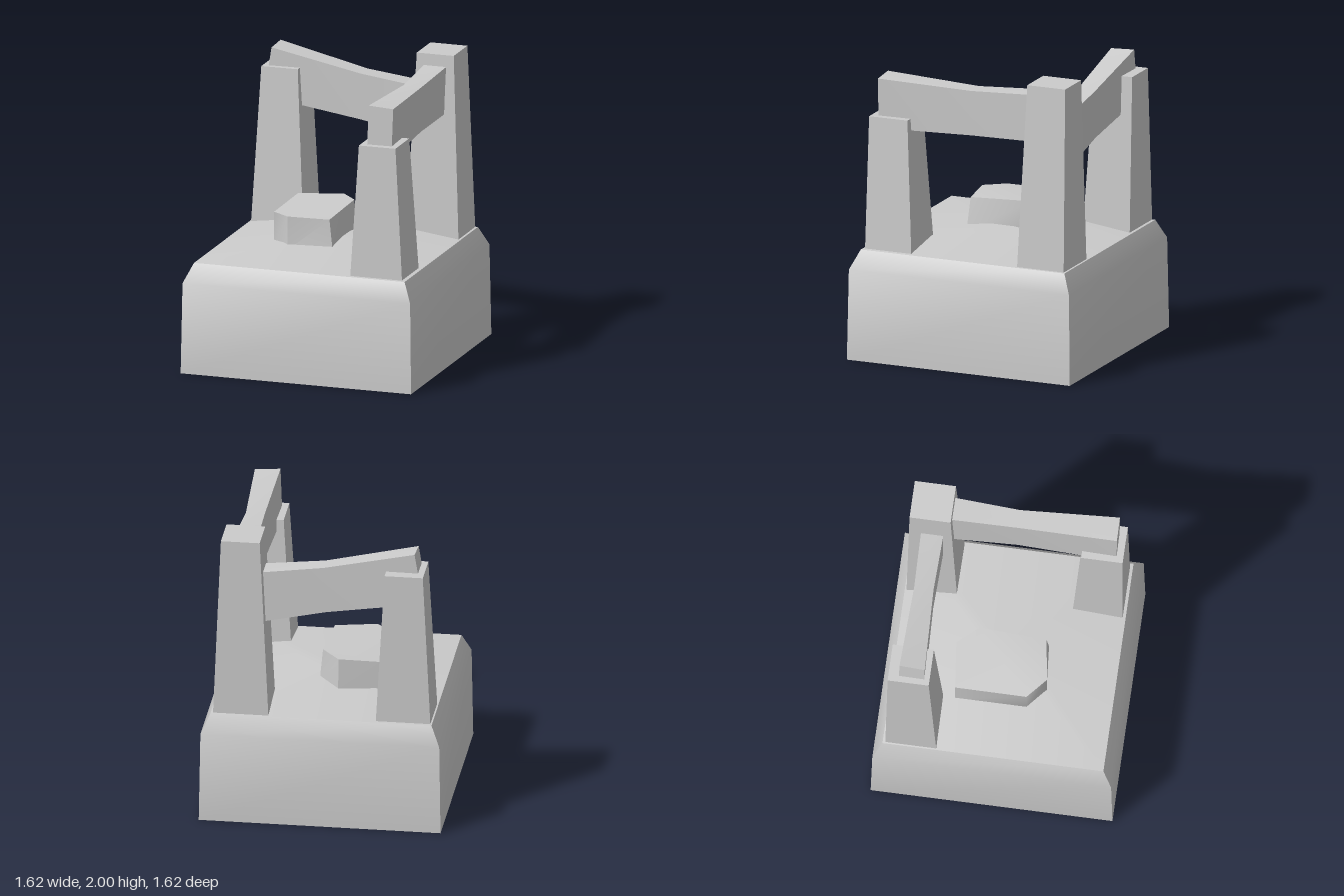
import * as THREE from 'three';
import { toCreasedNormals } from 'three/addons/utils/BufferGeometryUtils.js';

const material = new THREE.MeshStandardMaterial({ color: 0xcccccc });

// Skin a list of rings (same point count, counter-clockwise seen from the last ring) and cap both ends
function loft(name, rings, crease) {
  const n = rings[0].length;
  const index = [];
  for (let r = 0; r < rings.length - 1; r++) {
    for (let i = 0; i < n; i++) {
      const a = r * n + i, b = r * n + (i + 1) % n;
      index.push(a, b, b + n, a, b + n, a + n);
    }
  }
  const last = (rings.length - 1) * n;
  for (let i = 1; i < n - 1; i++) {
    index.push(0, i + 1, i);
    index.push(last, last + i, last + i + 1);
  }
  const geometry = new THREE.BufferGeometry();
  geometry.setAttribute('position', new THREE.Float32BufferAttribute(rings.flat(2), 3));
  geometry.setIndex(index);
  const mesh = new THREE.Mesh(toCreasedNormals(geometry, crease), material);
  mesh.name = name;
  return mesh;
}

// Horizontal rectangle ring
const rect = (y, x0, x1, z0, z1) => [[x1, y, z1], [x1, y, z0], [x0, y, z0], [x0, y, z1]];
const square = (y, h) => rect(y, -h, h, -h, h);

// Tapered pillar from a bottom and a top rectangle
const pillar = (name, bottom, height, top) =>
  loft(name, [rect(0.745, ...bottom), rect(height, ...top)], 0.2);

export function createModel() {
  const group = new THREE.Group();

  // Block with soft bevel and a gently domed top
  group.add(loft('base', [
    square(0, 0.812), square(0.62, 0.802), square(0.75, 0.742), square(0.835, 0.08),
  ], 0.52));

  // Three tapered pillars of different heights
  group.add(
    pillar('shortPillar', [0.352, 0.717, 0.385, 0.722], 1.655, [0.41, 0.668, 0.435, 0.714]),
    pillar('cornerPillar', [0.355, 0.727, -0.73, -0.39], 2, [0.415, 0.676, -0.718, -0.442]),
    pillar('middlePillar', [-0.732, -0.365, -0.724, -0.382], 1.81, [-0.68, -0.423, -0.716, -0.44]),
  );

  // Sloping rear beam, pinched in the middle: bottom front, bottom back, top back, top front
  group.add(loft('rearBeam', [
    [[-0.675, 1.595, -0.475], [-0.675, 1.59, -0.645], [-0.615, 1.945, -0.645], [-0.62, 1.935, -0.475]],
    [[-0.02, 1.49, -0.5], [-0.02, 1.485, -0.63], [0, 1.806, -0.63], [0, 1.803, -0.5]],
    [[0.58, 1.395, -0.485], [0.58, 1.36, -0.645], [0.6, 1.73, -0.645], [0.6, 1.73, -0.485]],
  ], 0.3));

  // Side beam, pinched in the middle: bottom inner, bottom outer, top outer, top inner
  group.add(loft('sideBeam', [
    [[0.455, 1.56, -0.62], [0.62, 1.6, -0.62], [0.63, 1.93, -0.62], [0.46, 1.93, -0.62]],
    [[0.472, 1.578, 0], [0.6, 1.585, 0], [0.605, 1.893, 0], [0.477, 1.895, 0]],
    [[0.45, 1.57, 0.668], [0.622, 1.568, 0.665], [0.635, 1.912, 0.665], [0.463, 1.923, 0.668]],
  ], 0.3));

  // Flat-topped stone with one leaning side
  const foot = [[0.085, -0.19], [-0.06, -0.34], [-0.375, -0.305], [-0.375, 0.175], [-0.24, 0.295], [0.072, 0.27]];
  const top = [[0.06, 1.017, -0.2], [-0.063, 1.013, -0.338], [-0.375, 0.995, -0.305],
    [-0.375, 0.99, 0.175], [-0.24, 1, 0.295], [0.042, 0.992, 0.253]];
  group.add(loft('stone', [foot.map(([x, z]) => [x, 0.77, z]), top], 0.85));

  return group;
}
